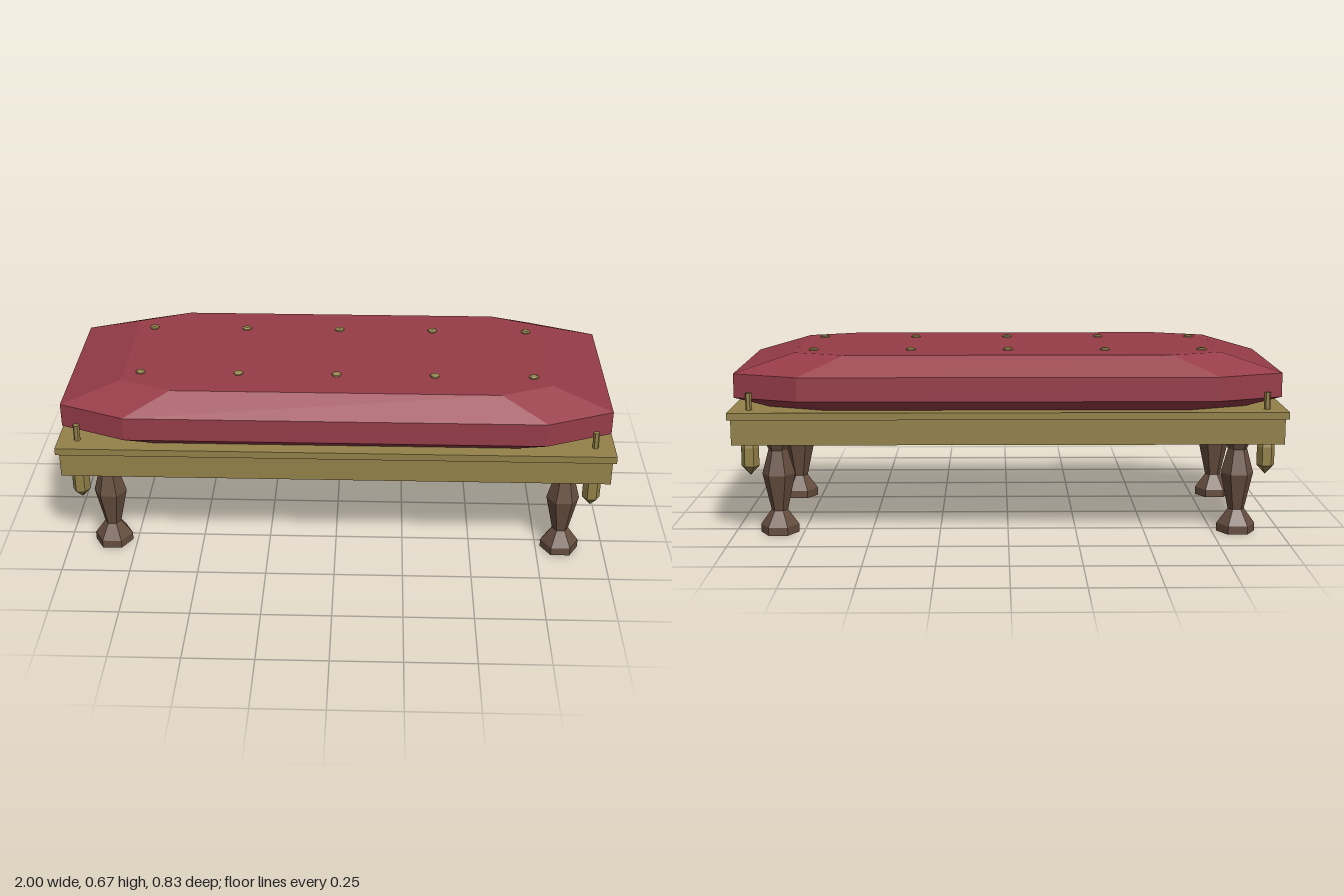
import * as THREE from 'three';

const material = (name, color) => {
  const m = new THREE.MeshStandardMaterial({ color, flatShading: true });
  m.name = name;
  return m;
};

// Six-sided turned part from [radius, height] points, listed bottom to top
const turned = (profile) => new THREE.LatheGeometry(
  profile.map(([r, y]) => new THREE.Vector2(r, y)), 6, Math.PI / 2);

// Closed solid through stacked copies of an outline, levels as [height, scale]
function loft(outline, levels) {
  const rings = levels.map(([y, s]) => outline.map(([x, z]) => [x * s, y, z * s]));
  const n = outline.length;
  const top = rings[rings.length - 1];
  const pos = [];
  const tri = (...corners) => corners.forEach((c) => pos.push(...c));
  for (let k = 0; k < rings.length - 1; k++) {
    const low = rings[k], high = rings[k + 1];
    for (let i = 0; i < n; i++) {
      const j = (i + 1) % n;
      tri(low[i], low[j], high[j]);
      tri(low[i], high[j], high[i]);
    }
  }
  for (let i = 1; i < n - 1; i++) {
    tri(top[0], top[i], top[i + 1]);
    tri(rings[0][0], rings[0][i + 1], rings[0][i]);
  }
  const g = new THREE.BufferGeometry();
  g.setAttribute('position', new THREE.Float32BufferAttribute(pos, 3));
  g.computeVertexNormals();
  return g;
}

export function createModel() {
  const model = new THREE.Group();
  model.name = 'bench';
  const brass = material('brass', 0x94824a);
  const wood = material('dark wood', 0x664e3f);
  const fabric = material('red fabric', 0x963c48);

  const add = (name, geometry, mat, x = 0, y = 0, z = 0) => {
    const mesh = new THREE.Mesh(geometry, mat);
    mesh.name = name;
    mesh.position.set(x, y, z);
    model.add(mesh);
  };

  // Frame: deep apron with a thin overhanging plate
  add('apron', new THREE.BoxGeometry(1.976, 0.095, 0.81), brass, 0, 0.3945, 0);
  add('topPlate', new THREE.BoxGeometry(2, 0.026, 0.835), brass, 0, 0.453, 0);

  // Cushion: clipped rectangle, bevelled above and below
  const outline = [
    [-0.75, 0.415], [0.75, 0.415], [0.988, 0.317], [0.988, -0.317],
    [0.75, -0.415], [-0.75, -0.415], [-0.988, -0.317], [-0.988, 0.317],
  ];
  add('cushion', loft(outline, [[0.442, 0.8], [0.505, 1], [0.592, 1], [0.659, 0.785]]), fabric);

  // Two rows of tufting buttons
  const button = turned([[0.018, 0], [0.018, 0.005], [0.011, 0.009], [0, 0.009]]);
  for (const z of [-0.187, 0.187]) {
    for (let i = -2; i <= 2; i++) add('button', button, brass, i * 0.356, 0.659, z);
  }

  // Legs and corner finials, one of each per corner
  const leg = turned([
    [0, 0], [0.07, 0], [0.07, 0.03], [0.03, 0.085],
    [0.06, 0.22], [0.035, 0.31], [0.052, 0.348],
  ]);
  const drop = turned([[0, 0.228], [0.032, 0.262], [0.032, 0.33], [0.027, 0.348]]);
  const post = turned([[0.0115, 0.34], [0.0115, 0.527], [0, 0.527]]);
  for (const sx of [-1, 1]) {
    for (const sz of [-1, 1]) {
      add('leg', leg, wood, sx * 0.838, 0, sz * 0.29);
      add('finialDrop', drop, brass, sx * 0.93, 0, sz * 0.35);
      add('finialPost', post, brass, sx * 0.93, 0, sz * 0.35);
    }
  }
  return model;
}
